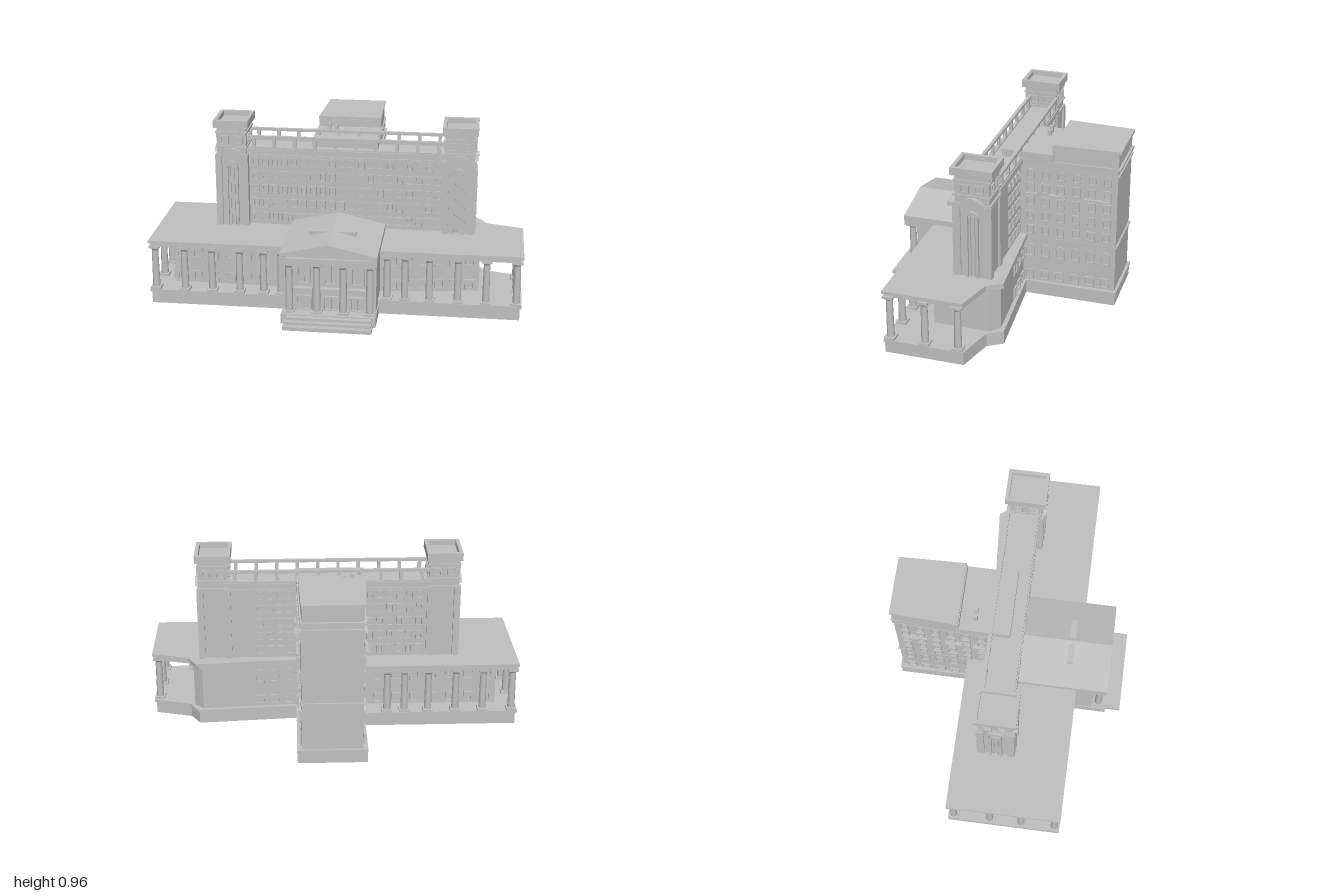
import * as THREE from 'three';
import { mergeGeometries } from 'three/addons/utils/BufferGeometryUtils.js';

const stone = new THREE.MeshStandardMaterial({ color: 0xc0c0c0 });
stone.name = 'grey stone';

// Box given by its limits on each axis
function box(x0, x1, y0, y1, z0, z1) {
  return new THREE.BoxGeometry(x1 - x0, y1 - y0, z1 - z0)
    .translate((x0 + x1) / 2, (y0 + y1) / 2, (z0 + z1) / 2);
}

// Upright prism from a plan of [x, z] corners
function prism(plan, y0, y1, scale = 1) {
  const shape = new THREE.Shape(plan.map(([x, z]) => new THREE.Vector2(x * scale, -z * scale)));
  return new THREE.ExtrudeGeometry(shape, { depth: y1 - y0, bevelEnabled: false })
    .rotateX(-Math.PI / 2).translate(0, y0, 0);
}

function opening(Type, w, h, arched) {
  const s = new Type();
  const r = w / 2;
  s.moveTo(-r, -h / 2);
  s.lineTo(r, -h / 2);
  if (arched) {
    s.lineTo(r, h / 2 - r);
    s.absarc(0, h / 2 - r, r, 0, Math.PI, false);
  } else {
    s.lineTo(r, h / 2);
    s.lineTo(-r, h / 2);
  }
  s.closePath();
  return s;
}

// Raised surround, facing +z
function frame(w, h, arched = false, t = 0.006, depth = 0.009) {
  const s = opening(THREE.Shape, w, h, arched);
  s.holes.push(opening(THREE.Path, w - 2 * t, h - 2 * t, arched));
  return new THREE.ExtrudeGeometry(s, { depth, bevelEnabled: false, curveSegments: 8 });
}

const place = (geo, x, y, z, ry = 0) => geo.clone().rotateY(ry).translate(x, y, z);

// Round column with square base and capital
function column(x, z, y0, y1, r) {
  const p = r * 1.4;
  return [
    new THREE.CylinderGeometry(r * 0.85, r, y1 - y0, 14).translate(x, (y0 + y1) / 2, z),
    box(x - p, x + p, y0, y0 + 0.015, z - p, z + p),
    box(x - p, x + p, y1 - 0.015, y1, z - p, z + p),
    new THREE.CylinderGeometry(r * 1.25, r * 0.85, 0.015, 14).translate(x, y1 - 0.022, z),
  ];
}

export function createModel() {
  const model = new THREE.Group();
  model.name = 'building';
  const add = (name, geos) => {
    const flat = geos.flat().map((g) => (g.index ? g.toNonIndexed() : g));
    const mesh = new THREE.Mesh(mergeGeometries(flat), stone);
    mesh.name = name;
    model.add(mesh);
  };

  // Plinth under everything
  const front = [[-1, 0.38], [1, 0.38], [1, -0.045], [0.8, -0.1], [0.75, -0.18], [0.21, -0.14]];
  const basePlan = [...front, [0.21, -0.64], [-0.16, -0.64], [-0.16, -0.24], [-1, -0.24]];
  add('plinth', [prism(basePlan, 0, 0.07, 0.99), prism(basePlan, 0.065, 0.078)]);

  // Colonnade roof
  const roofPlan = [...front, [-0.16, -0.24], [-1, -0.24]];
  add('colonnadeRoof', [prism(roofPlan, 0.325, 0.35, 0.985), prism(roofPlan, 0.345, 0.36)]);

  // Walls behind the colonnade
  const wallPlan = [[-0.89, 0.25], [0.25, 0.26], [0.77, 0.19], [0.77, -0.11],
    [0.72, -0.155], [0.2, -0.12], [-0.16, -0.13], [-0.89, -0.13]];
  add('groundFloorWalls', [prism(wallPlan, 0.07, 0.335)]);

  // Colonnade columns
  const cols = [];
  for (const x of [0.97, 0.81, 0.66, 0.51, 0.38, 0.285]) {
    cols.push(column(x, 0.35, 0.075, 0.33, 0.02), column(-x, 0.35, 0.075, 0.33, 0.02));
    cols.push(column(-x, -0.21, 0.075, 0.33, 0.02));
  }
  for (const z of [0.165, -0.01]) {
    cols.push(column(0.97, z, 0.075, 0.33, 0.02), column(-0.97, z, 0.075, 0.33, 0.02));
  }
  add('colonnadeColumns', cols);

  // Ground floor windows
  const arch = frame(0.055, 0.078, true, 0.009);
  const square = frame(0.05, 0.055, false, 0.007);
  const low = [];
  const pair = (x, z, ry) => low.push(place(arch, x, 0.262, z, ry), place(square, x, 0.118, z, ry));
  for (let i = 0; i < 7; i++) {
    pair(-0.85 + i * 0.09, 0.25, 0);
    pair(-0.84 + i * 0.1, -0.13, Math.PI);
    if (i < 6) pair(0.31 + i * 0.082, 0.26 - (0.06 + i * 0.082) * 0.135, 0.134);
  }
  for (const z of [-0.07, 0.03, 0.13, 0.21]) pair(-0.89, z, -Math.PI / 2);
  for (const x of [0.25, 0.33, 0.41]) pair(x, -0.12 - (x - 0.2) * 0.067, Math.PI);
  add('groundFloorWindows', low);

  // Main block
  add('mainBlock', [
    box(-0.52, 0.58, 0.3, 0.79, -0.1, 0.05),
    box(-0.52, 0.58, 0.752, 0.762, -0.106, 0.057),
    box(-0.52, 0.58, 0.778, 0.8, -0.115, 0.07),
  ]);

  // Main block windows
  const rows = [0.725, 0.645, 0.565, 0.485, 0.405];
  const upper = [];
  const small = frame(0.036, 0.05);
  const smallArch = frame(0.036, 0.05, true);
  rows.forEach((y, r) => {
    const geo = r === 0 ? smallArch : small;
    for (let i = 0; i < 20; i++) upper.push(place(geo, -0.465 + i * 0.0525, y, 0.05));
    for (let i = 0; i < 6; i++) upper.push(place(geo, -0.46 + i * 0.053, y, -0.1, Math.PI));
    for (let i = 0; i < 4; i++) upper.push(place(geo, 0.24 + i * 0.053, y, -0.1, Math.PI));
  });
  add('mainWindows', upper);

  // Open roof railing, front and back
  const rail = [];
  for (const z of [0.055, -0.1]) {
    rail.push(box(-0.51, 0.57, 0.855, 0.87, z - 0.009, z + 0.009));
    rail.push(box(-0.51, 0.57, 0.798, 0.808, z - 0.009, z + 0.009));
    for (let i = 0; i < 10; i++) {
      const x = -0.47 + i * 0.111;
      rail.push(box(x - 0.009, x + 0.009, 0.8, 0.865, z - 0.008, z + 0.008));
    }
  }
  add('roofRailing', rail);

  // Towers
  for (const [name, cx, side] of [['rightTower', -0.59, -1], ['leftTower', 0.645, 1]]) {
    const cz = -0.01;
    const parts = [];
    const block = (w, d, y0, y1, dx = 0, dz = 0) =>
      parts.push(box(cx + dx - w / 2, cx + dx + w / 2, y0, y1, cz + dz - d / 2, cz + dz + d / 2));
    block(0.16, 0.18, 0.3, 0.925);
    block(0.176, 0.2, 0.755, 0.77);
    block(0.172, 0.196, 0.805, 0.815);
    block(0.172, 0.192, 0.885, 0.895);
    for (const sx of [-1, 1]) {
      for (const sz of [-1, 1]) block(0.035, 0.04, 0.3, 0.76, sx * 0.072, sz * 0.082);
      // Hollow parapet
      block(0.02, 0.22, 0.92, 0.96, sx * 0.085);
      block(0.19, 0.02, 0.92, 0.96, 0, sx * 0.1);
    }
    block(0.19, 0.22, 0.918, 0.932);
    const faces = [[0, 0.09, 0], [0, -0.09, Math.PI], [0.08, 0, Math.PI / 2], [-0.08, 0, -Math.PI / 2]];
    for (const [dx, dz, ry] of faces) {
      const put = (geo, u, y) =>
        parts.push(place(geo, cx + dx + u * Math.cos(ry), y, cz + dz - u * Math.sin(ry), ry));
      for (const u of [-0.038, 0.038]) put(frame(0.045, 0.045), u, 0.85);
      // Tall arch, ribs and hood on the front and outer faces
      if (ry === 0 || dx * side > 0) {
        put(frame(0.068, 0.38, true, 0.013, 0.016), 0, 0.54);
        for (const u of [-0.011, 0.011]) put(new THREE.BoxGeometry(0.007, 0.34, 0.016), u, 0.53);
        const hood = new THREE.Shape();
        hood.moveTo(-0.062, 0);
        hood.lineTo(0.062, 0);
        hood.quadraticCurveTo(0, 0.07, -0.062, 0);
        put(new THREE.ExtrudeGeometry(hood, { depth: 0.02, bevelEnabled: false }), 0, 0.77);
      }
    }
    add(name, parts);
  }

  // Rear wing, slightly tapered
  const wingPlan = [[-0.16, 0], [0.2, 0], [0.185, -0.625], [-0.135, -0.625]];
  const penthouse = [[-0.155, -0.27], [0.19, -0.27], [0.18, -0.625], [-0.135, -0.625]];
  const wing = [
    prism(wingPlan, 0.07, 0.8),
    prism(wingPlan, 0.75, 0.76, 1.015),
    prism(wingPlan, 0.785, 0.8, 1.02),
    prism(wingPlan, 0.335, 0.347, 1.015),
    prism(penthouse, 0.8, 0.88),
    prism(penthouse, 0.878, 0.895, 1.02),
    box(-0.16, 0.2, 0.795, 0.84, -0.28, 0),
    box(-0.1, -0.08, 0.83, 0.88, -0.2, -0.18),
    box(-0.06, -0.04, 0.83, 0.87, -0.2, -0.18),
  ];
  add('rearWing', wing);

  // Wing windows and balconies on both sides
  const wingWindows = [];
  const balconies = [];
  const wall = { '-1': (z) => -0.16 - z * 0.04, 1: (z) => 0.2 + z * 0.024 };
  const tall = frame(0.045, 0.058, false, 0.008);
  const tallArch = frame(0.045, 0.058, true, 0.008);
  for (const s of [-1, 1]) {
    const ry = s * Math.PI / 2;
    for (let i = 0; i < 6; i++) {
      const z = -0.155 - i * 0.083;
      const x = wall[s](z);
      [0.72, 0.64, 0.56, 0.475, 0.39].forEach((y, r) =>
        wingWindows.push(place(r ? tall : tallArch, x, y, z, ry)));
      wingWindows.push(place(arch, x, 0.265, z, ry), place(square, x, 0.118, z, ry));
    }
    for (const [z0, z1] of [[-0.2, -0.13], [-0.35, -0.26], [-0.59, -0.45]]) {
      const x = wall[s]((z0 + z1) / 2);
      balconies.push(box(x - 0.022, x + 0.022, 0.602, 0.612, z0, z1));
    }
  }
  add('wingWindows', wingWindows);
  add('wingBalconies', balconies);

  // Entrance porch
  add('porchBody', [box(-0.25, 0.24, 0.05, 0.35, 0.05, 0.48), box(-0.26, 0.25, 0.335, 0.357, 0.05, 0.55)]);
  const gable = (Type, w, y0, y1, y2) => new Type([[-w, y0], [w, y0], [w, y1], [0, y2], [-w, y1]]
    .map(([x, y]) => new THREE.Vector2(x, y)));
  const trim = gable(THREE.Shape, 0.255, 0.35, 0.39, 0.448);
  trim.holes.push(gable(THREE.Path, 0.225, 0.368, 0.378, 0.43));
  add('porchRoof', [
    new THREE.ExtrudeGeometry(gable(THREE.Shape, 0.255, 0.35, 0.39, 0.448), { depth: 0.48, bevelEnabled: false })
      .translate(-0.005, 0, 0.055),
    new THREE.ExtrudeGeometry(trim, { depth: 0.015, bevelEnabled: false }).translate(-0.005, 0, 0.535),
    box(-0.13, 0.12, 0.4, 0.444, 0.31, 0.345),
  ]);

  // Porch columns, doors, windows and balconies
  add('porchColumns', [-0.215, -0.07, 0.07, 0.21].map((x) => column(x, 0.515, 0.05, 0.338, 0.021)));
  const porch = [];
  for (const x of [-0.143, 0, 0.14]) {
    porch.push(place(frame(0.075, 0.13, true, 0.012, 0.014), x, 0.262, 0.48));
    porch.push(place(frame(0.08, 0.085, false, 0.01, 0.014), x, 0.093, 0.48));
    porch.push(box(x - 0.05, x + 0.05, 0.172, 0.184, 0.475, 0.51));
    porch.push(box(x - 0.004, x + 0.004, 0.05, 0.13, 0.478, 0.488));
    porch.push(box(x - 0.004, x + 0.004, 0.2, 0.32, 0.478, 0.488));
  }
  add('porchOpenings', porch);

  // Entrance steps
  add('steps', [
    box(-0.255, 0.245, 0, 0.055, 0.37, 0.56),
    box(-0.225, 0.22, 0, 0.05, 0.55, 0.59),
    box(-0.23, 0.225, 0, 0.035, 0.55, 0.615),
    box(-0.235, 0.23, 0, 0.02, 0.55, 0.643),
  ]);
  return model;
}
